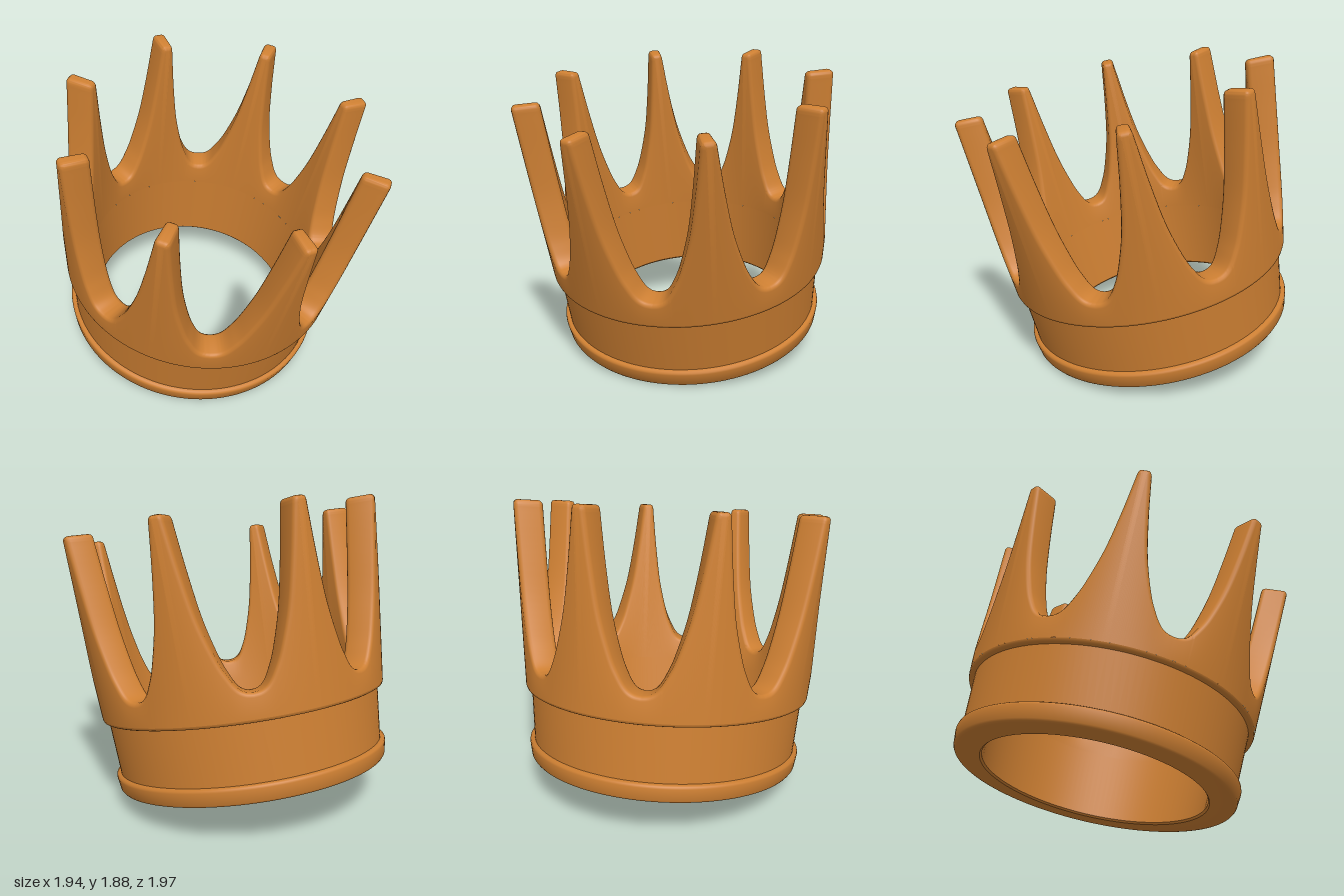
import * as THREE from 'three';
import { toCreasedNormals } from 'three/addons/utils/BufferGeometryUtils.js';

const SPIKES = 8, PHASE = THREE.MathUtils.degToRad(21);
const BASE = 0.455;                 // height where the spiked wall starts
const ARC = 0.9;                    // mean radius, turns angles into arc lengths
const HALF = ARC * Math.PI / SPIKES; // half the spacing of the spikes
const BEVEL = 0.026;

// wall radii as a function of height along the crown's axis
const outer = v => 0.88 + 0.095 * (v - BASE) / 1.1;
const inner = v => 0.715 + 0.092 * (v - BASE) / 1.1;

// rim of one spike as (arc, height), from valley over the tip to the next valley
function spikeRim() {
  const half = new THREE.SplineCurve([
    [1, 0.595], [0.88, 0.602], [0.77, 0.628], [0.66, 0.685], [0.52, 0.79], [0.34, 1.0],
    [0.215, 1.25], [0.13, 1.48], [0.112, 1.53], [0.085, 1.55], [0.045, 1.555], [0, 1.555],
  ].map(([f, v]) => new THREE.Vector2(-f * HALF, v))).getPoints(55);
  const mirrored = half.slice(1, -1).reverse().map(p => new THREE.Vector2(-p.x, p.y));
  return [...half, ...mirrored];
}

// spiked wall: rows run up the outside, over the rounded rim, down the inside
function spikedWall() {
  const rim = spikeRim(), n = rim.length, columns = n * SPIKES;
  const at = i => {
    const turn = Math.floor(i / n), p = rim[i - turn * n];
    return new THREE.Vector2(p.x + turn * 2 * HALF, p.y);
  };
  const positions = [], index = [];
  const add = (arc, v, r) => {
    const a = arc / ARC + PHASE;
    positions.push(r * Math.cos(a), v, r * Math.sin(a));
  };
  const steps = 3, rows = 2 * (steps + 2);
  for (let i = 0; i < columns; i++) {
    const p = at(i), t = at(i + 1).sub(at(i - 1)).normalize();
    const round = [];
    for (let k = 0; k <= steps; k++) {
      const a = k / steps * Math.PI / 2, inset = BEVEL * (1 - Math.sin(a));
      round.push([p.x + t.y * inset, p.y - t.x * inset, BEVEL * (1 - Math.cos(a))]);
    }
    add(round[0][0], BASE, outer(BASE));
    for (const [x, v, d] of round) add(x, v, outer(v) - d);
    for (const [x, v, d] of [...round].reverse()) add(x, v, inner(v) + d);
    add(round[0][0], BASE, inner(BASE));
  }
  for (let i = 0; i < columns; i++) {
    const next = (i + 1) % columns;
    for (let j = 0; j < rows - 1; j++) {
      const a = i * rows + j, b = next * rows + j;
      index.push(a, a + 1, b, b, a + 1, b + 1);
    }
  }
  const g = new THREE.BufferGeometry();
  g.setAttribute('position', new THREE.Float32BufferAttribute(positions, 3));
  g.setIndex(index);
  return toCreasedNormals(g, 0.75);
}

// lower band with the foot ring and the step below the spiked wall
function band() {
  const profile = [
    [0.715, BASE], [0.67, 0.012], [0.68, 0], [0.815, 0], [0.829, 0.004], [0.836, 0.014],
    [0.848, 0.085], [0.846, 0.097], [0.837, 0.104], [0.82, 0.106],
    [0.845, 0.438], [0.868, 0.438], [0.876, 0.443], [0.88, BASE],
  ].map(([r, v]) => new THREE.Vector2(r, v));
  return toCreasedNormals(new THREE.LatheGeometry(profile, 128), 0.75);
}

export function createModel() {
  const material = new THREE.MeshStandardMaterial({ color: 0xcd7f32 });
  const crown = new THREE.Group();
  crown.name = 'crown';
  for (const [name, geometry] of [['band', band()], ['spikedWall', spikedWall()]]) {
    const mesh = new THREE.Mesh(geometry, material);
    mesh.name = name;
    crown.add(mesh);
  }
  // lean towards the front left
  const axis = new THREE.Vector3(0.134, 0.978, 0.156).normalize();
  crown.quaternion.setFromUnitVectors(new THREE.Vector3(0, 1, 0), axis);
  crown.position.set(-0.135, 0.171, -0.177);

  const model = new THREE.Group();
  model.name = 'tiltedCrown';
  model.add(crown);
  return model;
}
